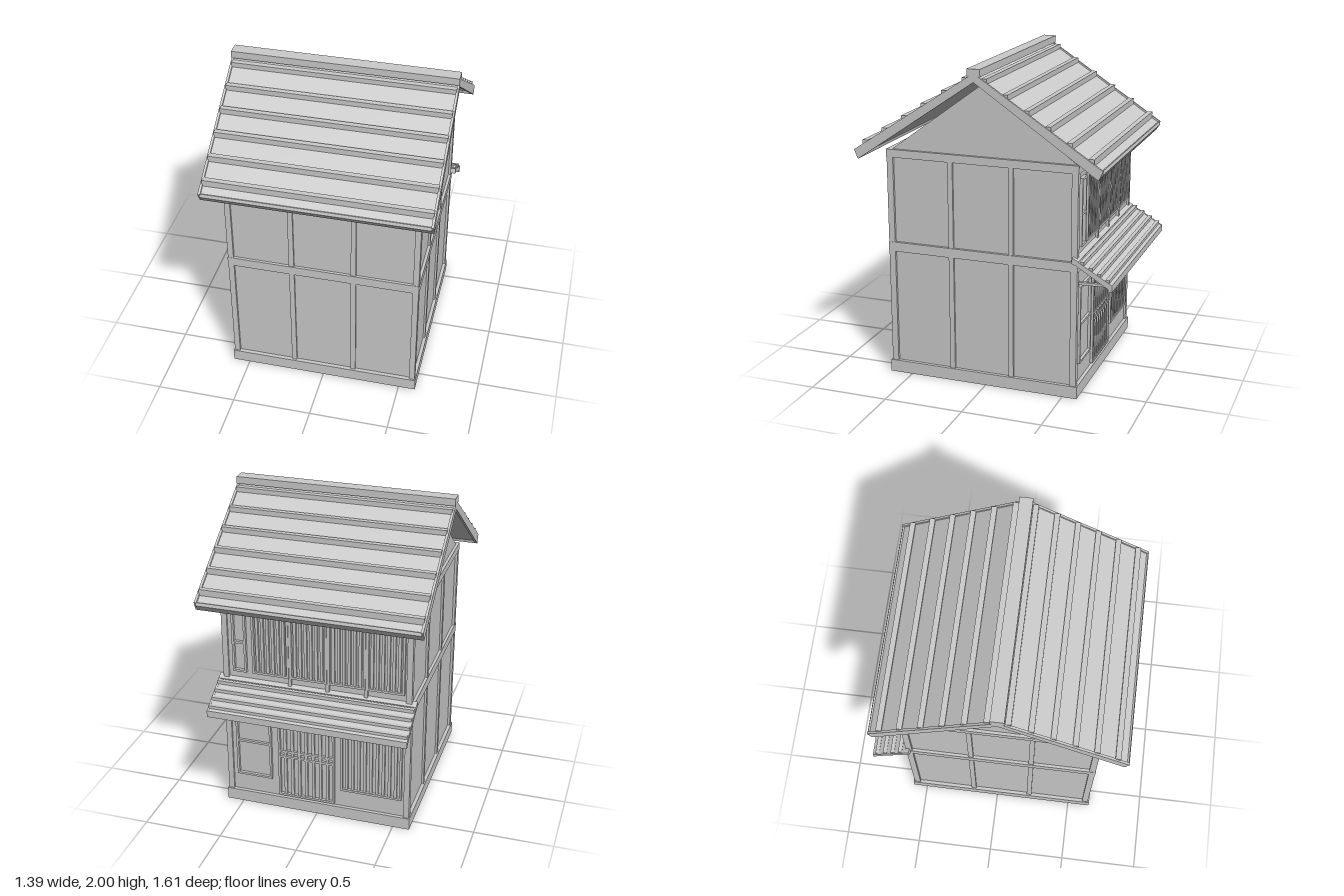
import * as THREE from 'three';

const grey = new THREE.MeshStandardMaterial({ color: 0xcccccc, flatShading: true });

// Box given by its min/max extents on each axis
function box(parent, name, [x0, x1], [y0, y1], [z0, z1]) {
  const m = new THREE.Mesh(new THREE.BoxGeometry(x1 - x0, y1 - y0, z1 - z0), grey);
  m.position.set((x0 + x1) / 2, (y0 + y1) / 2, (z0 + z1) / 2);
  m.name = name;
  parent.add(m);
  return m;
}

// Extrude a (z, y) profile along x between x0 and x1
function prism(parent, name, points, x0, x1) {
  const shape = new THREE.Shape(points.map(([z, y]) => new THREE.Vector2(-z, y)));
  const geo = new THREE.ExtrudeGeometry(shape, { depth: x1 - x0, bevelEnabled: false });
  geo.rotateY(Math.PI / 2).translate(x0, 0, 0);
  const m = new THREE.Mesh(geo, grey);
  m.name = name;
  parent.add(m);
  return m;
}

function group(parent, name) {
  const g = new THREE.Group();
  g.name = name;
  parent.add(g);
  return g;
}

const BACK = -0.57; // plane of the back wall

// Framed panel on the back wall with optional bars and cross rails
function panel(parent, name, [x0, x1], [y0, y1], { bars = 0, rails = [], out = 0.018, frame = 0.014 }) {
  const g = group(parent, name);
  const z = [BACK - out, BACK + 0.01];
  box(g, 'frameSide', [x0, x0 + frame], [y0, y1], z);
  box(g, 'frameSide', [x1 - frame, x1], [y0, y1], z);
  box(g, 'frameBottom', [x0, x1], [y0, y0 + frame], z);
  box(g, 'frameTop', [x0, x1], [y1 - frame, y1], z);
  for (const r of rails) box(g, 'rail', [x0, x1], [r - 0.007, r + 0.007], [BACK - out + 0.002, BACK + 0.01]);
  for (let i = 1; i <= bars; i++) {
    const x = x0 + ((x1 - x0) * i) / (bars + 1);
    box(g, 'bar', [x - 0.009, x + 0.009], [y0, y1], [BACK - out + 0.004, BACK + 0.01]);
  }
}

export function createModel() {
  const model = new THREE.Group();
  model.name = 'house';

  // Plinth, wall core and gable
  box(model, 'base', [-0.607, 0.607], [0, 0.078], [-0.592, 0.645]);
  box(model, 'walls', [-0.585, 0.585], [0.07, 1.45], [BACK, 0.62]);
  prism(model, 'gable', [[0.61, 1.455], [-0.58, 1.455], [0.025, 1.885]], -0.585, 0.585);

  // Timber frame: posts on all sides, two belts of beams
  const frame = group(model, 'timberFrame');
  for (const x of [-0.583, 0.583])
    for (const z of [0.615, -0.563]) box(frame, 'cornerPost', [x - 0.018, x + 0.018], [0.07, 1.45], [z - 0.02, z + 0.02]);
  for (const x of [-0.195, 0.195]) box(frame, 'frontPost', [x - 0.016, x + 0.016], [0.07, 1.45], [0.6, 0.632]);
  for (const s of [-1, 1])
    for (const z of [0.222, -0.165])
      box(frame, 'sidePost', s > 0 ? [0.57, 0.598] : [-0.598, -0.57], [0.07, 1.45], [z - 0.016, z + 0.016]);
  for (const y of [[0.81, 0.87], [1.41, 1.46]]) {
    box(frame, 'frontBeam', [-0.603, 0.603], y, [0.6, 0.637]);
    box(frame, 'backBeam', [-0.603, 0.603], y, [-0.587, -0.55]);
    for (const s of [-1, 1]) box(frame, 'sideBeam', s > 0 ? [0.565, 0.603] : [-0.603, -0.565], y, [-0.587, 0.637]);
  }

  // Back facade, ground floor
  const facade = group(model, 'backFacade');
  panel(facade, 'smallPanel', [0.3, 0.535], [0.2, 0.7], { rails: [0.45] });
  panel(facade, 'door', [-0.115, 0.255], [0.09, 0.7], { bars: 7, rails: [0.38, 0.42] });
  panel(facade, 'latticeWindow', [-0.55, -0.155], [0.2, 0.7], { bars: 9 });

  // Back facade, upper floor
  panel(facade, 'narrowPanel', [0.445, 0.535], [0.95, 1.37], { rails: [1.15], out: 0.02 });
  const step = 0.242;
  for (let i = 0; i < 4; i++) {
    const x = 0.41 - step * (i + 1);
    panel(facade, 'upperWindow', [x + 0.003, x + step - 0.003], [0.95, 1.37], { bars: 6, out: 0.02 });
    if (i < 3) box(facade, 'mullion', [x - 0.011, x + 0.011], [0.86, 1.42], [BACK - 0.015, BACK + 0.01]);
  }

  // Main roof: two slopes about the ridge at z = 0.025
  const roof = group(model, 'roof');
  const ridge = 0.025;
  for (const s of [1, -1]) {
    const slope = group(roof, s > 0 ? 'frontSlope' : 'backSlope');
    const pts = (list) => (s > 0 ? list : list.slice().reverse()).map(([d, y]) => [ridge + s * d, y]);
    prism(slope, 'slab', pts([[0, 1.965], [0, 1.93], [0.755, 1.425], [0.775, 1.455]]), -0.685, 0.685);
    // Boards along the eave and the two verges
    prism(slope, 'eaveBoard', pts([[0.745, 1.455], [0.755, 1.408], [0.78, 1.445], [0.775, 1.465]]), -0.685, 0.685);
    for (const x of [-0.695, 0.68])
      prism(slope, 'vergeBoard', pts([[0, 1.975], [0, 1.922], [0.755, 1.408], [0.78, 1.465]]), x, x + 0.015);
    // Horizontal tile battens
    for (let i = 0; i < 6; i++) {
      const d = 0.06 + i * 0.1295;
      const y = 1.945 - i * 0.0835;
      box(slope, 'batten', [-0.685, 0.685], [y - 0.045, y], [ridge + s * d - 0.017, ridge + s * d + 0.017]);
    }
  }
  box(roof, 'ridgeCap', [-0.695, 0.695], [1.955, 2], [-0.016, 0.066]);

  // Pent roof above the ground floor
  const awning = group(model, 'awning');
  prism(awning, 'slab', [[-0.56, 0.885], [-0.795, 0.745], [-0.8, 0.768], [-0.56, 0.905]], -0.625, 0.625);
  prism(awning, 'topBoard', [[-0.553, 0.875], [-0.59, 0.86], [-0.598, 0.89], [-0.56, 0.91]], -0.63, 0.63);
  box(awning, 'eaveBoard', [-0.63, 0.63], [0.725, 0.768], [-0.805, -0.785]);
  for (const x of [-0.63, 0.618])
    prism(awning, 'vergeBoard', [[-0.555, 0.88], [-0.795, 0.733], [-0.803, 0.768], [-0.56, 0.908]], x, x + 0.012);
  for (let i = 0; i < 4; i++) {
    const z = -0.618 - i * 0.052;
    const y = 0.888 - i * 0.031;
    box(awning, 'batten', [-0.625, 0.625], [y - 0.03, y], [z - 0.012, z + 0.012]);
  }
  for (const x of [-0.54, -0.18, 0.18, 0.54]) {
    const strut = box(awning, 'strut', [x - 0.01, x + 0.01], [0.72, 0.737], [-0.765, -0.57]);
    strut.rotation.x = 0.03;
  }

  return model;
}
